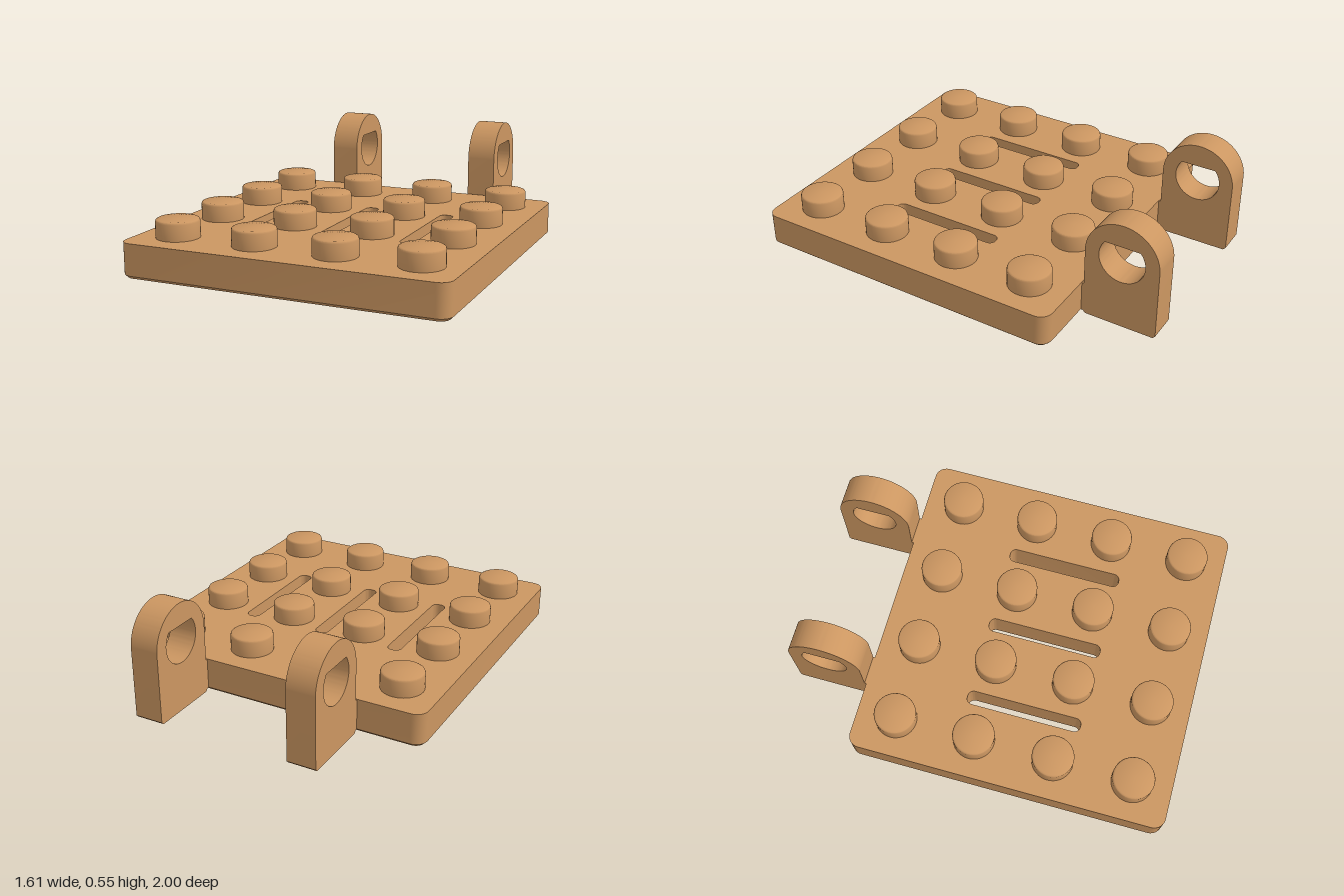
import * as THREE from 'three';
import { toCreasedNormals, mergeGeometries } from 'three/addons/utils/BufferGeometryUtils.js';

const PITCH = 0.406, TOP = 0.17, PLATE_Z = 0.19;
const GRID = [-1.5, -0.5, 0.5, 1.5].map((k) => k * PITCH);

// Counter-clockwise outline of a rounded rectangle with half sizes w and d.
function roundedRect(w, d, r, cx = 0, seg = 8) {
  const pts = [];
  [[1, 1], [-1, 1], [-1, -1], [1, -1]].forEach(([sx, sy], q) => {
    for (let i = 0; i <= seg; i++) {
      const a = (q + i / seg) * Math.PI / 2;
      pts.push(new THREE.Vector2(cx + sx * (w - r) + r * Math.cos(a), sy * (d - r) + r * Math.sin(a)));
    }
  });
  return pts;
}

function circle(cx, cy, r, n = 40) {
  return Array.from({ length: n }, (_, i) => {
    const a = i / n * Math.PI * 2;
    return new THREE.Vector2(cx + r * Math.cos(a), cy + r * Math.sin(a));
  });
}

// Wall joining a lower and an upper outline; inward turns it to face into a hole.
function wall(lower, y0, upper, y1, inward = false) {
  const pos = [];
  for (let i = 0; i < lower.length; i++) {
    const j = (i + 1) % lower.length;
    const a = [lower[i].x, y0, -lower[i].y], b = [lower[j].x, y0, -lower[j].y];
    const c = [upper[j].x, y1, -upper[j].y], d = [upper[i].x, y1, -upper[i].y];
    pos.push(...(inward ? [a, c, b, a, d, c] : [a, b, c, a, c, d]).flat());
  }
  const g = new THREE.BufferGeometry();
  g.setAttribute('position', new THREE.Float32BufferAttribute(pos, 3));
  return g;
}

// Flat cap facing up or down (all outlines are symmetric front to back).
function cap(outline, holes, y, up) {
  const shape = new THREE.Shape(outline);
  shape.holes = holes.map((h) => new THREE.Path(h));
  const g = new THREE.ShapeGeometry(shape).rotateX(up ? -Math.PI / 2 : Math.PI / 2).translate(0, y, 0).toNonIndexed();
  g.deleteAttribute('uv');
  g.deleteAttribute('normal');
  return g;
}

function plateGeometry() {
  const outer = roundedRect(0.805, 0.81, 0.06);
  const inset = roundedRect(0.79, 0.795, 0.045);
  const slots = [-PITCH, 0, PITCH].map((x) => roundedRect(0.035, 0.295, 0.03, x));
  const centres = GRID.flatMap((x) => GRID.map((z) => [x, z]));
  const mouths = centres.map(([x, z]) => circle(x, z, 0.123));
  const parts = [
    cap(outer, slots, TOP, true),
    cap(inset, [...slots, ...mouths], 0, false),
    wall(inset, 0, outer, 0.015),
    wall(outer, 0.015, outer, TOP),
    ...slots.map((s) => wall(s, 0, s, TOP, true)),
  ];
  // Chamfered round sockets on the underside
  centres.forEach(([x, z], i) => {
    const bore = circle(x, z, 0.108);
    parts.push(wall(mouths[i], 0, bore, 0.018, true), wall(bore, 0.018, bore, 0.1, true));
    const ceiling = new THREE.CircleGeometry(0.108, 40).rotateX(Math.PI / 2).translate(x, 0.1, -z).toNonIndexed();
    ceiling.deleteAttribute('uv');
    ceiling.deleteAttribute('normal');
    parts.push(ceiling);
  });
  return toCreasedNormals(mergeGeometries(parts), 0.5);
}

// Arched lug with a teardrop eye, extruded across x
function lugGeometry() {
  const R = 0.185, CY = 0.36, r = 0.115, apex = 0.18, w = 0.145, b = 0.012;
  const s = new THREE.Shape();
  s.moveTo(-R + b, 0);
  s.lineTo(R - b, 0);
  s.lineTo(R, b);
  s.lineTo(R, CY);
  s.absarc(0, CY, R, 0, Math.PI, false);
  s.lineTo(-R, b);
  s.closePath();
  const t = Math.acos(r / apex);
  const eye = new THREE.Path();
  eye.moveTo(0, CY + apex);
  eye.absarc(0, CY, r, Math.PI / 2 + t, Math.PI * 2.5 - t, false);
  eye.closePath();
  s.holes.push(eye);
  const g = new THREE.ExtrudeGeometry(s, { depth: w, bevelEnabled: false, curveSegments: 32 });
  return toCreasedNormals(g.translate(0, 0, -w / 2).rotateY(-Math.PI / 2), 0.5);
}

export function createModel() {
  const model = new THREE.Group();
  model.name = 'studdedHingePlate';
  const tan = new THREE.MeshStandardMaterial({ color: 0xcb9661 });
  tan.name = 'tan';

  const add = (name, geometry, x, y, z) => {
    const mesh = new THREE.Mesh(geometry, tan);
    mesh.name = name;
    mesh.position.set(x, y, z);
    model.add(mesh);
  };

  add('plate', plateGeometry(), 0, 0, PLATE_Z);

  // Four by four studs with a softened rim
  const profile = [[0.105, 0], [0.105, 0.078], [0.102, 0.086], [0.095, 0.09], [0, 0.09]];
  const stud = toCreasedNormals(
    new THREE.LatheGeometry(profile.map(([x, y]) => new THREE.Vector2(x, y)), 40), 0.7);
  for (const x of GRID) for (const z of GRID) add('stud', stud, x, TOP, PLATE_Z + z);

  // Two lugs behind the plate, each on a short bridge
  const lug = lugGeometry();
  const bridge = new THREE.BoxGeometry(0.145, 0.155, 0.03);
  for (const [side, sx] of [['left', 1], ['right', -1]]) {
    add(side + 'Lug', lug, sx * PITCH, 0, -0.815);
    add(side + 'Bridge', bridge, sx * PITCH, 0.09, -0.625);
  }
  return model;
}
